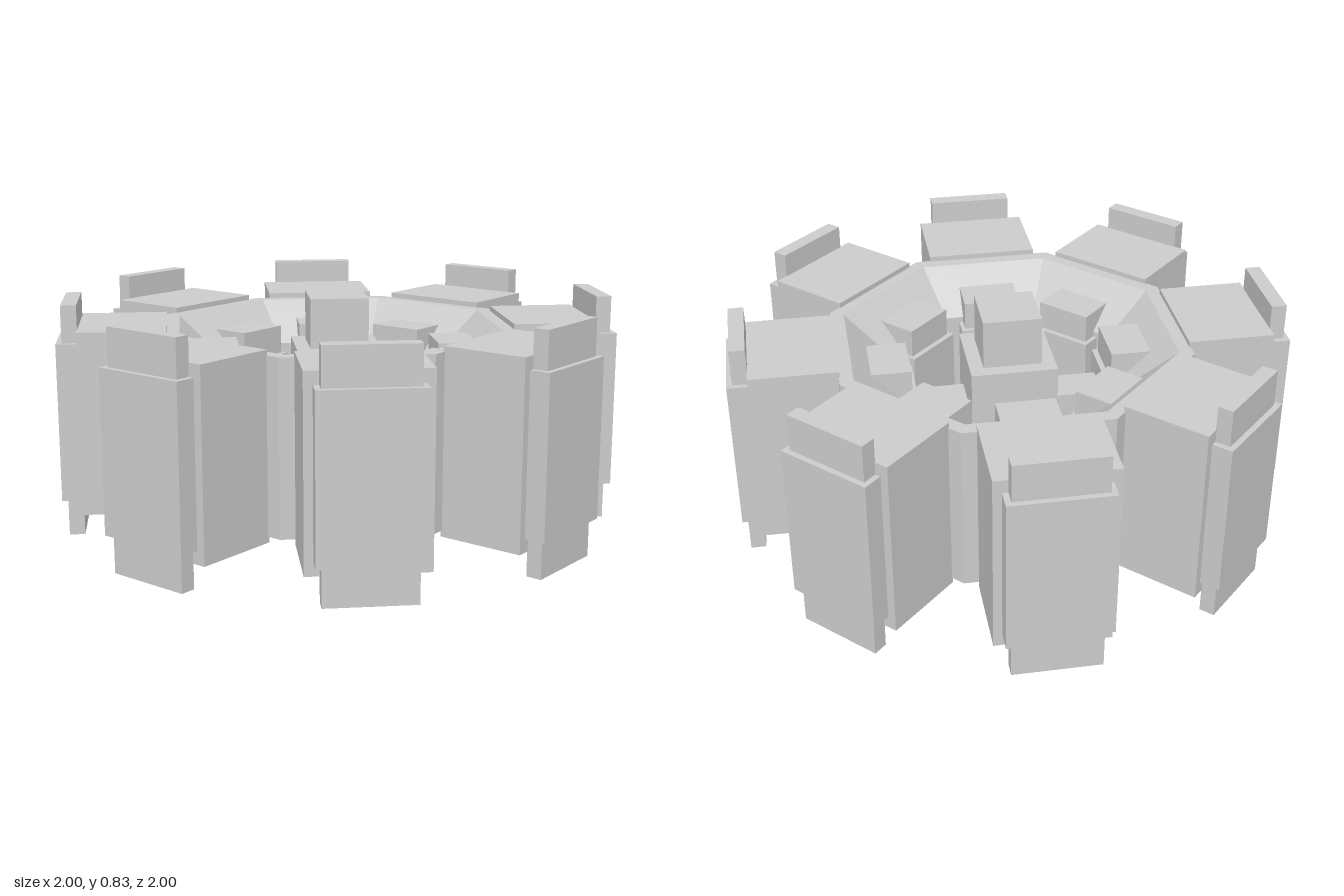
import * as THREE from 'three';

const SIDES = 8;
const MID = 0.415; // every part is symmetric about this height

export function createModel() {
  const model = new THREE.Group();
  model.name = 'ringStation';
  const material = new THREE.MeshStandardMaterial({ color: 0xcccccc, flatShading: true });

  // Box from radius r0 to r1 along local z, centred on the middle height
  function radialBox(parent, name, width, height, r0, r1) {
    const mesh = new THREE.Mesh(new THREE.BoxGeometry(width, height, r1 - r0), material);
    mesh.name = name;
    mesh.position.set(0, MID, (r0 + r1) / 2);
    parent.add(mesh);
  }

  // Octagonal ring: straight outer wall, inner wall bevelled towards top and bottom
  const profile = [
    [0.62, 0.108], [0.62, 0.724], [0.57, 0.724], [0.415, 0.575],
    [0.415, 0.255], [0.57, 0.108], [0.62, 0.108],
  ].map(([r, y]) => new THREE.Vector2(r / Math.cos(Math.PI / SIDES), y));
  const ring = new THREE.Mesh(
    new THREE.LatheGeometry(profile, SIDES, Math.PI / SIDES), material);
  ring.name = 'octagonRing';
  model.add(ring);

  // Central hub: wide block with a narrower, taller core
  radialBox(model, 'hubBlock', 0.31, 0.47, -0.155, 0.155);
  radialBox(model, 'hubCore', 0.21, 0.83, -0.105, 0.105);

  for (let i = 0; i < SIDES; i++) {
    const sector = new THREE.Group();
    sector.name = 'sector' + (i + 1);
    sector.rotation.y = (i * 2 * Math.PI) / SIDES;

    // Outer module with its end plate and cover panel
    radialBox(sector, 'outerModule', 0.41, 0.656, 0.615, 0.927);
    radialBox(sector, 'endPlate', 0.31, 0.83, 0.925, 0.98);
    radialBox(sector, 'coverPanel', 0.35, 0.565, 0.92, 1.0);

    // Docking blocks set into the inner wall
    radialBox(sector, 'innerPad', 0.24, 0.28, 0.34, 0.45);
    radialBox(sector, 'innerBlock', 0.21, 0.49, 0.36, 0.52);

    // Spokes on every other sector
    if (i % 2 === 0) radialBox(sector, 'spoke', 0.14, 0.14, 0.14, 0.36);
    model.add(sector);
  }
  return model;
}
